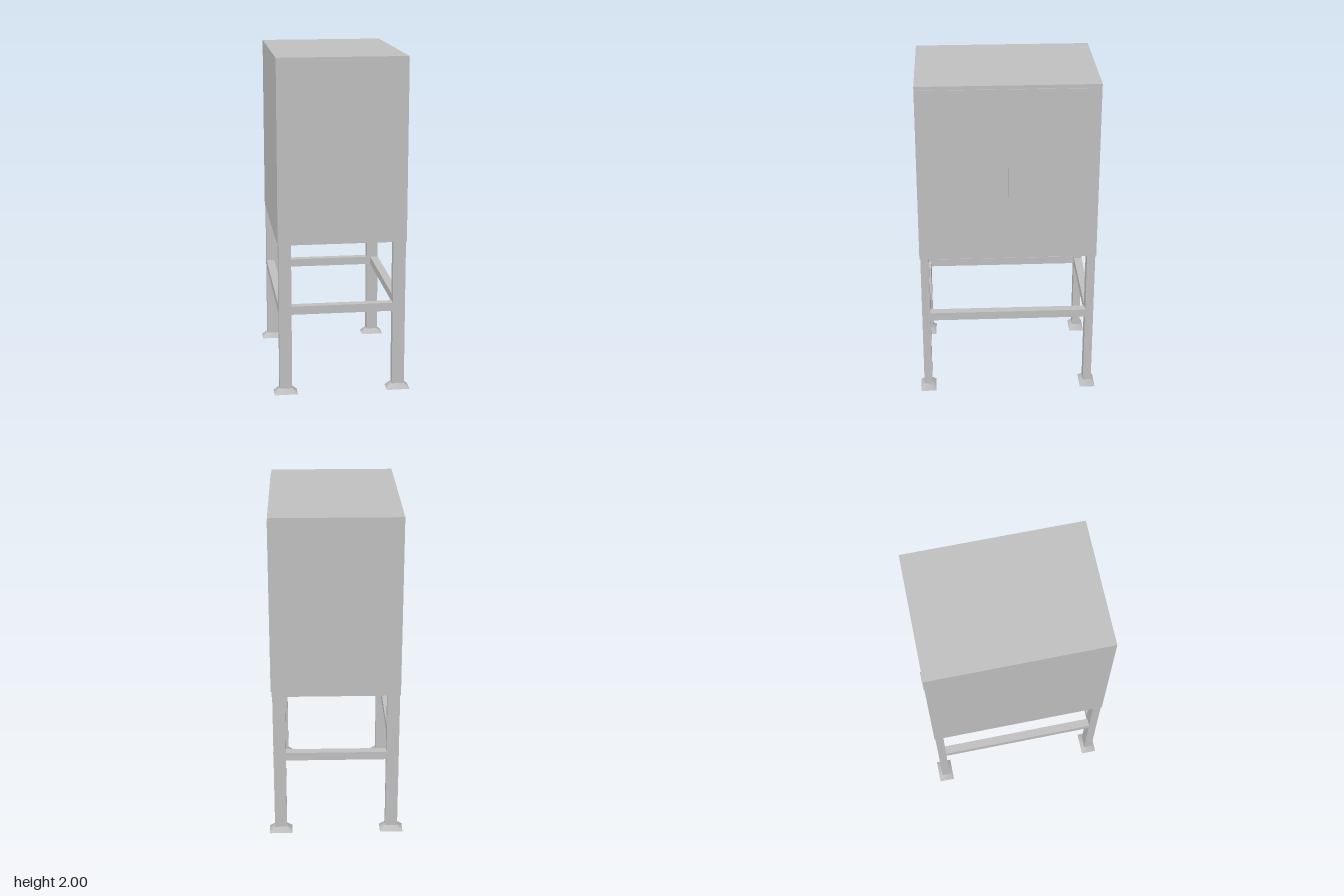
import * as THREE from 'three';

export function createModel() {
  const model = new THREE.Group();
  const steel = new THREE.MeshStandardMaterial({ color: 0xbfbfbf });
  steel.name = 'grey steel';

  function add(name, geometry, x, y, z) {
    const mesh = new THREE.Mesh(geometry, steel);
    mesh.name = name;
    mesh.position.set(x, y, z);
    model.add(mesh);
  }
  const box = (w, h, d) => new THREE.BoxGeometry(w, h, d);

  const base = 0.916, height = 2 - base, midY = base + height / 2;
  const legX = 0.338, legZ = 0.499, legW = 0.074, legD = 0.05;
  const footH = 0.032, railY = 0.517, rail = 0.05;

  // Cabinet with two thin door leaves on the +x side
  add('cabinet', box(0.758, height, 1.058), 0, midY, 0);
  for (const s of [-1, 1]) {
    add('doorLeaf', box(0.006, 1.04, 0.503), 0.381, midY, s * 0.2545);
  }

  // Tapered foot with softly shaded sides
  const foot = new THREE.CylinderGeometry(legW * Math.SQRT1_2, 0.139 * Math.SQRT1_2, footH, 4);
  foot.rotateY(Math.PI / 4);
  foot.scale(1, 1, legD / legW);

  // Legs and feet at the four corners
  const legH = base - footH;
  for (const sx of [-1, 1]) {
    for (const sz of [-1, 1]) {
      add('leg', box(legW, legH, legD), sx * legX, footH + legH / 2, sz * legZ);
      add('foot', foot, sx * legX, footH / 2, sz * legZ);
    }
  }

  // Rails between the legs, flush with their outer faces
  for (const s of [-1, 1]) {
    add('endRail', box(2 * legX - legW, rail, rail), 0, railY, s * legZ);
    add('sideRail', box(rail, rail, 2 * legZ - legD), s * (legX + (legW - rail) / 2), railY, 0);
  }

  return model;
}
